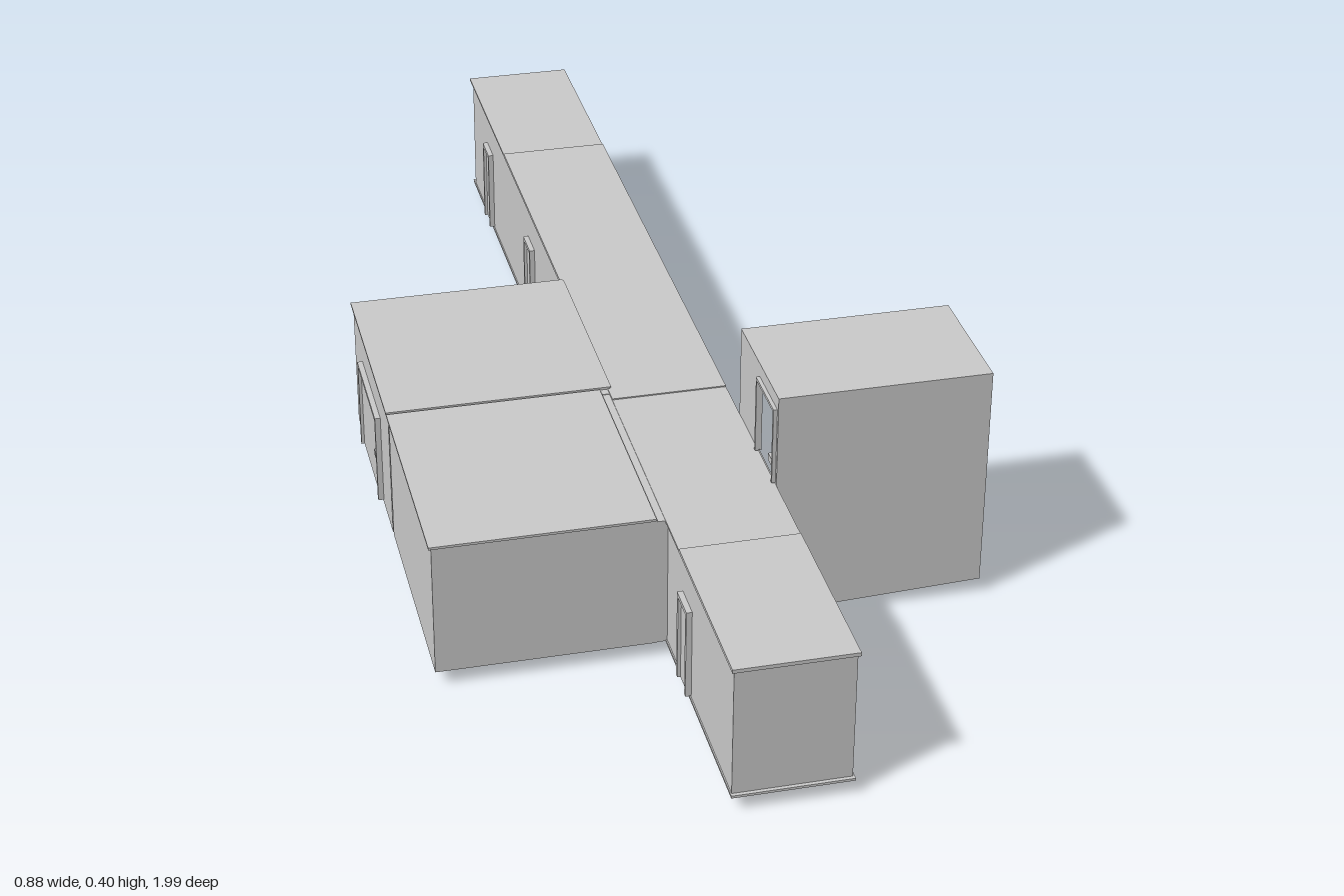
import * as THREE from 'three';

const grey = new THREE.MeshStandardMaterial({ color: 0xcccccc, flatShading: true });
const greyBoth = new THREE.MeshStandardMaterial({ color: 0xcccccc, flatShading: true, side: THREE.DoubleSide });

// Box given by its limits on each axis
function box(parent, name, x0, x1, y0, y1, z0, z1) {
  const mesh = new THREE.Mesh(new THREE.BoxGeometry(x1 - x0, y1 - y0, z1 - z0), grey);
  mesh.position.set((x0 + x1) / 2, (y0 + y1) / 2, (z0 + z1) / 2);
  mesh.name = name;
  parent.add(mesh);
}

// Flat polygon from corners in counter-clockwise order
function panel(parent, name, corners, material = grey) {
  const g = new THREE.BufferGeometry();
  g.setAttribute('position', new THREE.Float32BufferAttribute(corners.flat(), 3));
  const index = [];
  for (let i = 1; i < corners.length - 1; i++) index.push(0, i, i + 1);
  g.setIndex(index);
  g.computeVertexNormals();
  const mesh = new THREE.Mesh(g, material);
  mesh.name = name;
  parent.add(mesh);
}

// Door standing on its local xy plane and facing +z: jambs, lintel, leaf and handle
function door(parent, name, width, height, x, z, angle) {
  const d = new THREE.Group();
  const w = width / 2, t = 0.007;
  for (const s of [-1, 1]) box(d, 'doorJamb', s * w - t / 2, s * w + t / 2, 0, height, -0.01, 0.008);
  box(d, 'doorLintel', -w, w, height - t, height, -0.01, 0.008);
  box(d, 'doorLeaf', -w, w, 0, height - t, -0.01, 0.003);
  box(d, 'doorHandle', w * 0.6, w * 0.75, height * 0.42, height * 0.48, 0, 0.006);
  d.position.set(x, 0.03, z);
  d.rotation.y = angle;
  d.name = name;
  parent.add(d);
}

export function createModel() {
  const model = new THREE.Group();
  model.name = 'building';

  // Long corridor in four sections, each with a thin roof and floor slab
  const corridor = new THREE.Group();
  corridor.name = 'corridor';
  const cuts = [-1, -0.66, 0.24, 0.68, 0.99];
  for (let i = 0; i < 4; i++) {
    const z0 = cuts[i], z1 = cuts[i + 1];
    const in0 = i === 0 ? 0.012 : 0, in1 = i === 3 ? 0.006 : 0;
    box(corridor, 'corridorWalls', -0.078, 0.101, 0.027, 0.243, z0 + in0, z1 - in1);
    box(corridor, 'corridorRoof', -0.082, 0.104, 0.241, i % 2 ? 0.247 : 0.245, z0, z1);
    box(corridor, 'corridorFloor', -0.08, 0.104, 0.024, 0.028, z0, z1);
  }
  // Wall corner dipping below the floor beside the stair tower
  panel(corridor, 'wallSkirt', [[0.103, 0.027, 0.69], [0.103, 0.013, 0.55], [0.103, 0.027, 0.55]], greyBoth);
  model.add(corridor);

  // Two side rooms
  const rooms = new THREE.Group();
  rooms.name = 'sideRooms';
  box(rooms, 'backRoom', -0.436, -0.076, 0.025, 0.249, -0.158, 0.205);
  box(rooms, 'backRoomRoof', -0.44, -0.078, 0.246, 0.25, -0.16, 0.207);
  box(rooms, 'frontRoom', -0.436, -0.094, 0.025, 0.247, 0.212, 0.598);
  box(rooms, 'frontRoomRoof', -0.44, -0.096, 0.246, 0.25, 0.212, 0.6);
  box(rooms, 'roomJoint', -0.434, -0.08, 0.027, 0.245, 0.2, 0.22);
  box(rooms, 'roomLink', -0.1, -0.076, 0.026, 0.244, 0.2, 0.598);
  model.add(rooms);

  // Doors
  const q = Math.PI / 2;
  for (const z of [0.72, 0.275, -0.165, -0.49, -0.785]) door(model, 'rightDoor', 0.05, 0.15, 0.102, z, q);
  for (const z of [0.72, -0.43, -0.82]) door(model, 'leftDoor', 0.05, 0.15, -0.079, z, -q);
  door(model, 'endDoor', 0.12, 0.155, 0.01, -0.99, Math.PI);
  door(model, 'roomDoor', 0.18, 0.155, -0.437, 0.02, -q);

  // Stair tower, a shell with a slanting floor and an opening on the corridor side
  const tower = new THREE.Group();
  tower.name = 'stairTower';
  const x0 = 0.104, x1 = 0.44, z0 = 0.325, z1 = 0.543, top = 0.398;
  const low = x => 0.012 + (x - x0) * 0.039;
  panel(tower, 'towerFront', [[x0, low(x0), z1], [x1, low(x1), z1], [x1, top, z1], [x0, top, z1]]);
  panel(tower, 'towerBack', [[x1, low(x1), z0], [x0, low(x0), z0], [x0, top, z0], [x1, top, z0]]);
  panel(tower, 'towerSide', [[x1, low(x1), z1], [x1, low(x1), z0], [x1, top, z0], [x1, top, z1]]);
  panel(tower, 'towerRoof', [[x0, top, z1], [x1, top, z1], [x1, top, z0], [x0, top, z0]]);
  const floor = (a, b, c, d) => panel(tower, 'towerFloor',
    [[a, low(a), c], [b, low(b), c], [b, low(b), d], [a, low(a), d]]);
  floor(x0, x1, 0.45, z1);
  floor(0.17, x1, z0, 0.45);
  // Wall towards the corridor, shape drawn with its x along z
  const wall = new THREE.Shape([[z0, 0.012], [z1, 0.012], [z1, top], [z0, top]].map(p => new THREE.Vector2(...p)));
  const hole = (a, b, c, d) => wall.holes.push(new THREE.Path(
    [[a, c], [a, d], [b, d], [b, c]].map(p => new THREE.Vector2(...p))));
  hole(0.44, 0.532, 0.25, 0.372);
  hole(0.335, 0.43, 0.03, 0.18);
  const inner = new THREE.Mesh(new THREE.ShapeGeometry(wall), grey);
  inner.name = 'towerInnerWall';
  inner.rotation.y = -q;
  inner.position.x = x0;
  tower.add(inner);
  for (const z of [0.436, 0.532]) box(tower, 'openingJamb', 0.098, 0.108, 0.247, 0.376, z, z + 0.005);
  box(tower, 'openingLintel', 0.098, 0.108, 0.371, 0.376, 0.436, 0.537);
  // Riser below the lowest step
  panel(tower, 'bottomRiser', [[0.11, 0, 0.45], [0.11, 0, 0.33], [0.11, 0.025, 0.33], [0.11, 0.025, 0.45]]);
  // Two flights and a landing
  const n = 9, run = 0.22 / n;
  for (let i = 0; i < n; i++) {
    const y = 0.035 + i * 0.0095, a = 0.12 + i * run;
    box(tower, 'lowerStep', a, a + run, y - 0.008, y, 0.33, 0.428);
    const y2 = 0.13 + i * 0.0135, b = 0.34 - i * run;
    box(tower, 'upperStep', b - run, b, y2 - 0.012, y2, 0.438, 0.54);
  }
  box(tower, 'landing', 0.34, 0.436, 0.108, 0.12, 0.33, 0.54);
  model.add(tower);

  return model;
}
